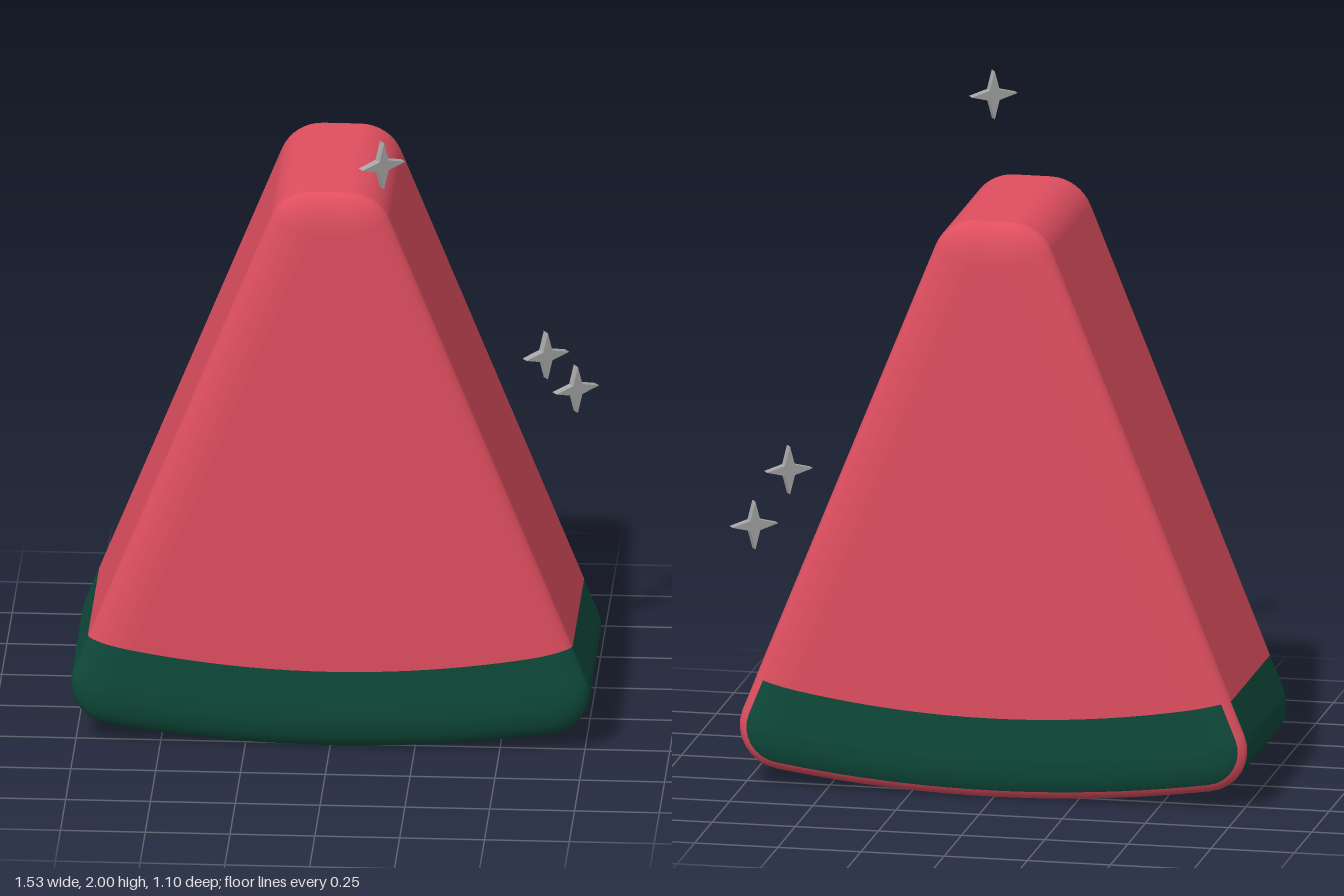
import * as THREE from 'three';

const R = 0.13;                 // edge rounding seen from the front
const DEPTH = 0.05;             // edge rounding along z
const FRONT = 0.26, BACK = -0.285;
const TOP = [0.055, 1.62], LOW = [0.635, 0.18];   // centres of the rounded corners
const SIDE = Math.atan2(TOP[0] - LOW[0], LOW[1] - TOP[1]) + Math.PI; // placeholder direction, normalised below
const SIDE_ANGLE = Math.atan2(LOW[0] - TOP[0], TOP[1] - LOW[1]);     // angle of the side wall's normal
const LOW_ANGLE = Math.atan2(-1, 0.1 / LOW[0]);                      // normal where the base arc ends

const rindY = x => 0.25 + 0.08 * (x / 0.715) ** 2;

// An outline point: a core point pushed out by d along the normal angle a
const point = (x, y, a, d) => ({ x: x + d * Math.cos(a), y: y + d * Math.sin(a), a });

// Where the rind line meets the right side wall
function seam(d) {
  let lo = 0, hi = 1, p;
  for (let i = 0; i < 30; i++) {
    const s = (lo + hi) / 2;
    p = point(TOP[0] + (LOW[0] - TOP[0]) * s, TOP[1] + (LOW[1] - TOP[1]) * s, SIDE_ANGLE, d);
    if (p.y > rindY(p.x)) lo = s; else hi = s;
  }
  return p;
}

const mirror = pts => pts.map(p => ({ x: -p.x, y: p.y, a: Math.PI - p.a })).reverse();

// Right seam, over the tip, to the left seam
function fleshOutline(d) {
  const half = [seam(d)];
  for (let i = 0; i <= 8; i++) {
    half.push(point(...TOP, THREE.MathUtils.lerp(SIDE_ANGLE, Math.PI / 2, i / 8), d));
  }
  return [...half, ...mirror(half)];
}

// Left seam, under the base, to the right seam
function rindOutline(d) {
  const half = [];
  for (let i = 0; i <= 10; i++) {
    const x = LOW[0] * i / 10;
    half.push(point(x, 0.13 + 0.05 * (i / 10) ** 2, Math.atan2(-1, 0.1 * x / LOW[0] ** 2), d));
  }
  for (let i = 1; i <= 8; i++) {
    half.push(point(...LOW, THREE.MathUtils.lerp(LOW_ANGLE, SIDE_ANGLE, i / 8), d));
  }
  half.push(seam(d));
  return [...mirror(half).slice(0, -1), ...half];
}

// Rings from front to back; t is the angle round the rounded edge in degrees
const level = (t, base, sign) => ({ t: THREE.MathUtils.degToRad(t), base, sign });
const LEVELS = [
  ...[90, 75, 60, 45, 30, 15, 0].map(t => level(t, FRONT, 1)),
  ...[0, 10, 24, 37, 54, 72, 90].map(t => level(t, BACK, -1)),
];

function loft(outline, levels) {
  const pos = [], nor = [], index = [];
  let n = 0;
  levels.forEach(({ t, base, sign }) => {
    const ring = outline(R * Math.cos(t));
    n = ring.length;
    ring.forEach(({ x, y, a }) => {
      pos.push(x, y, base + sign * DEPTH * Math.sin(t));
      const k = Math.cos(t) / R;
      nor.push(...new THREE.Vector3(k * Math.cos(a), k * Math.sin(a), sign * Math.sin(t) / DEPTH).normalize().toArray());
    });
  });
  for (let i = 0; i < levels.length - 1; i++) {
    for (let j = 0; j < n - 1; j++) {
      const a = i * n + j, b = a + 1, c = a + n, d = c + 1;
      index.push(a, c, b, b, c, d);
    }
  }
  const g = new THREE.BufferGeometry();
  g.setAttribute('position', new THREE.Float32BufferAttribute(pos, 3));
  g.setAttribute('normal', new THREE.Float32BufferAttribute(nor, 3));
  g.setIndex(index);
  return g;
}

// Flat face bounded by an outline and the curved rind line
function face(outline, fromX) {
  const pts = outline(0).map(p => new THREE.Vector2(p.x, p.y));
  const w = seam(0).x * fromX;
  for (let i = 1; i < 20; i++) {
    const x = w * (1 - i / 10);
    pts.push(new THREE.Vector2(x, rindY(x)));
  }
  return new THREE.ShapeGeometry(new THREE.Shape(pts));
}

export function createModel() {
  const model = new THREE.Group();
  const material = (name, color) => {
    const m = new THREE.MeshStandardMaterial({ color });
    m.name = name;
    return m;
  };
  const red = material('flesh red', 0xe04f60);
  const green = material('rind green', 0x0f4a3b);
  const grey = material('sparkle grey', 0xa6a6a6);
  const add = (name, geometry, mat) => {
    const mesh = new THREE.Mesh(geometry, mat);
    mesh.name = name;
    model.add(mesh);
    return mesh;
  };

  // Wedge walls, with a thin red seam in the rind's back edge
  add('fleshWall', loft(fleshOutline, LEVELS), red);
  add('rindWall', loft(rindOutline, LEVELS.slice(0, 9)), green);
  add('rindSeam', loft(rindOutline, LEVELS.slice(8, 11)), red);
  add('rindBackEdge', loft(rindOutline, LEVELS.slice(10)), green);

  // Front and back faces
  [['Front', FRONT + DEPTH, 0], ['Back', BACK - DEPTH, Math.PI]].forEach(([side, z, turn]) => {
    [['flesh', fleshOutline, -1, red], ['rind', rindOutline, 1, green]].forEach(([part, outline, from, mat]) => {
      const mesh = add(part + side, face(outline, from), mat);
      mesh.position.z = z;
      mesh.rotation.y = turn;
    });
  });

  // Floating four-pointed sparkles
  const star = new THREE.Shape(Array.from({ length: 8 }, (_, i) => {
    const r = i % 2 ? 0.022 : 0.073, a = i * Math.PI / 4;
    return new THREE.Vector2(r * Math.cos(a), r * Math.sin(a));
  }));
  const starGeometry = new THREE.ExtrudeGeometry(star, { depth: 0.024, bevelEnabled: false });
  starGeometry.translate(0, 0, -0.012);
  [[0.167, 1.927, 0.497], [0.595, 0.99, -0.395], [0.677, 0.845, -0.5]].forEach((p, i) => {
    const mesh = add('sparkle' + (i + 1), starGeometry, grey);
    mesh.position.set(...p);
    mesh.rotation.y = 0.6;
  });
  return model;
}
